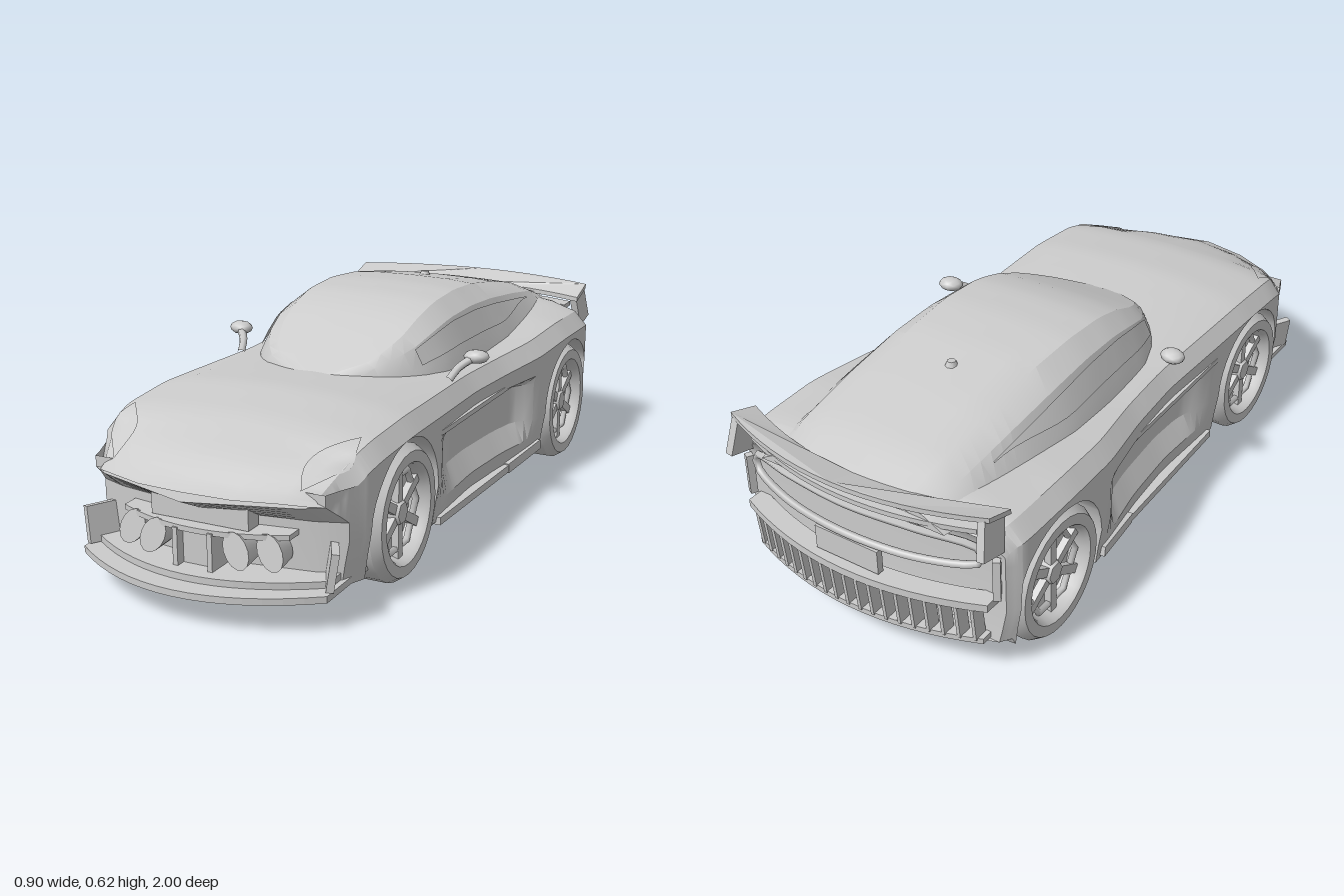
import * as THREE from 'three';
import { toCreasedNormals } from 'three/addons/utils/BufferGeometryUtils.js';

const { clamp, lerp, smoothstep } = THREE.MathUtils;
const grey = new THREE.MeshStandardMaterial({ color: 0xcccccc });
const thin = new THREE.MeshStandardMaterial({ color: 0xcccccc, side: THREE.DoubleSide });

function add(parent, name, geo, pos = [0, 0, 0], rot = [0, 0, 0], mat = grey) {
  const m = new THREE.Mesh(geo, mat);
  m.name = name;
  m.position.set(...pos);
  m.rotation.set(...rot);
  parent.add(m);
  return m;
}
const box = (p, name, w, h, d, pos, rot) => add(p, name, new THREE.BoxGeometry(w, h, d), pos, rot);

// Interpolates rows [z, ...values], z descending
function keyed(rows, z) {
  let i = 0;
  while (i < rows.length - 2 && z < rows[i + 1][0]) i++;
  const [a, b] = [rows[i], rows[i + 1]];
  const t = clamp((z - a[0]) / (b[0] - a[0]), 0, 1);
  return a.slice(1).map((v, k) => lerp(v, b[k + 1], t));
}
function smoothKeyed(rows, z) {
  const s = [-0.03, 0, 0.03].map(o => keyed(rows, z + o));
  return s[0].map((v, k) => (v + s[1][k] + s[2][k]) / 3);
}

// Plan curvature of nose and tail
const bend = (x, z) => z - 1.1 * x * x * clamp((z - 0.7) / 0.25, 0, 1)
  + 0.55 * x * x * clamp((-z - 0.82) / 0.13, 0, 1);

// Skins mirrored half sections running from front to back, with end caps
function loft(stations, half, shift = (x, z) => z) {
  const pos = [], idx = [];
  let n = 0;
  for (const z of stations) {
    const h = half(z);
    const ring = [...h, ...h.slice(1, -1).reverse().map(([x, y]) => [-x, y])];
    n = ring.length;
    for (const [x, y] of ring) pos.push(x, y, shift(x, z));
  }
  const last = (stations.length - 1) * n;
  for (let i = 0; i < last; i += n) for (let j = 0; j < n; j++) {
    const k = (j + 1) % n;
    idx.push(i + j, i + k, i + n + j, i + k, i + n + k, i + n + j);
  }
  for (let j = 0; j < n / 2; j++) {
    const l = (n - j) % n, l2 = n - j - 1, r = j, r2 = j + 1;
    idx.push(l, l2, r2, l, r2, r);
    idx.push(last + l, last + r2, last + l2, last + l, last + r, last + r2);
  }
  const g = new THREE.BufferGeometry();
  g.setAttribute('position', new THREE.Float32BufferAttribute(pos, 3));
  g.setIndex(idx);
  return toCreasedNormals(g, 0.45);
}

// Grid surface from f(u, v)
function patch(f, nu, nv) {
  const g = new THREE.PlaneGeometry(1, 1, nu, nv), p = g.attributes.position;
  for (let i = 0; i < p.count; i++) p.setXYZ(i, ...f(p.getX(i) + 0.5, p.getY(i) + 0.5));
  g.computeVertexNormals();
  return g;
}

// Flat plate with parabolic edges in plan; dir +1 faces front, -1 faces back
function band(w, zc, k, depth, y, t, dir, rise = 0) {
  const outer = [], inner = [];
  for (let i = 0; i <= 16; i++) {
    const x = lerp(-w, w, i / 16), z = zc - dir * k * x * x;
    outer.push(new THREE.Vector2(x, -z));
    inner.unshift(new THREE.Vector2(x, -(z - dir * depth)));
  }
  const g = new THREE.ExtrudeGeometry(new THREE.Shape([...outer, ...inner]), { depth: t, bevelEnabled: false });
  g.rotateX(-Math.PI / 2).translate(0, y, 0);
  const p = g.attributes.position;
  for (let i = 0; i < p.count; i++) {
    const x = p.getX(i), local = dir * (p.getZ(i) - (zc - dir * k * x * x)) + depth;
    p.setY(i, p.getY(i) + rise * local);
  }
  g.computeVertexNormals();
  return g;
}

// z, half width, centre height, shoulder height
const bodyKeys = [
  [0.95, 0.33, 0.33, 0.3], [0.83, 0.36, 0.395, 0.355], [0.65, 0.395, 0.45, 0.415], [0.45, 0.4, 0.472, 0.428],
  [0.28, 0.395, 0.465, 0.425], [0, 0.385, 0.45, 0.42], [-0.2, 0.4, 0.45, 0.42], [-0.4, 0.435, 0.46, 0.43],
  [-0.6, 0.449, 0.48, 0.445], [-0.8, 0.446, 0.495, 0.44], [-0.9, 0.43, 0.485, 0.43], [-0.95, 0.41, 0.465, 0.4]];
const axles = [0.49, -0.65], archR = 0.2;

function bodyHalf(z) {
  const [w, top, sh] = smoothKeyed(bodyKeys, z);
  let floor = z > 0.83 ? lerp(0.25, 0.31, (z - 0.83) / 0.12) : z < -0.86 ? 0.1 : 0.08, edge = floor;
  for (const a of axles) {
    const d = Math.abs(z - a);
    if (d < archR) edge = 0.19 + Math.sqrt(archR * archR - d * d);
  }
  // Scooped door panel
  const d = 0.045 * smoothstep(z, -0.4, -0.3) * (1 - smoothstep(z, 0.1, 0.3));
  const side = [[0, top], [0.4 * w, top - 0.006], [0.72 * w, lerp(top, sh, 0.4)], [0.91 * w, sh + 0.008],
    [w, sh - 0.035], [w, 0.34], [w - d, 0.315], [w - d, 0.2], [w - 0.01, 0.14], [w - 0.018, edge], [0.28, edge]];
  return [...side.map(([x, y]) => [x, Math.max(y, edge)]), [0.28, floor], [0, floor]];
}

// z, roof height, roof half width, base half width
const cabinKeys = [
  [0.29, 0.455, 0.03, 0.06], [0.2, 0.497, 0.15, 0.2], [0.1, 0.545, 0.19, 0.27], [0, 0.588, 0.2, 0.3],
  [-0.1, 0.614, 0.205, 0.31], [-0.25, 0.622, 0.205, 0.32], [-0.4, 0.61, 0.2, 0.33], [-0.6, 0.575, 0.19, 0.33],
  [-0.8, 0.53, 0.18, 0.32], [-0.93, 0.485, 0.16, 0.29]];
function cabinHalf(z) {
  const [top, wr, wb] = keyed(cabinKeys, z), h = top - 0.435;
  return [[0, top], [0.6 * wr, top - 0.002], [wr, top - 0.05 * h], [lerp(wr, wb, 0.5), top - 0.28 * h],
    [lerp(wr, wb, 0.88), top - 0.8 * h], [wb, 0.435], [0, 0.435]];
}

function wheel(width) {
  const g = new THREE.Group(), h = width / 2;
  const profile = [[0, -h], [0.13, -h], [0.165, -h], [0.185, -h + 0.025], [0.185, h - 0.025], [0.168, h],
    [0.138, h], [0.13, h - 0.012], [0.118, h - 0.055], [0, h - 0.06]].map(p => new THREE.Vector2(...p));
  add(g, 'tyreAndRim', toCreasedNormals(new THREE.LatheGeometry(profile, 28).rotateZ(-Math.PI / 2), 0.5));
  for (let i = 0; i < 6; i++) {
    const a = i * Math.PI / 3;
    box(g, 'spoke', 0.02, 0.1, 0.026, [h - 0.035, 0.08 * Math.cos(a), 0.08 * Math.sin(a)], [a, 0, 0]);
  }
  add(g, 'rimRing', new THREE.TorusGeometry(0.115, 0.01, 5, 6).rotateY(Math.PI / 2), [h - 0.035, 0, 0]);
  add(g, 'hub', new THREE.CylinderGeometry(0.03, 0.042, 0.035, 6).rotateZ(-Math.PI / 2), [h - 0.035, 0, 0]);
  return g;
}

export function createModel() {
  const car = new THREE.Group();
  car.name = 'sportsCar';

  // Body shell with wheel arches, extra stations at the arch edges and under the nose
  const zs = [0.8305, 0.8295];
  for (let i = 0; i <= 76; i++) zs.push(0.95 - i * 0.025);
  for (const a of axles) for (const s of [-1, 1]) for (const d of [0.2005, 0.1995, 0.193, 0.18]) zs.push(a + s * d);
  zs.sort((a, b) => b - a);
  add(car, 'bodyShell', loft(zs, bodyHalf, bend));
  add(car, 'cabin', loft(Array.from({ length: 31 }, (_, i) => lerp(0.29, -0.93, i / 30)), cabinHalf));
  add(car, 'roofAntenna', new THREE.CylinderGeometry(0.012, 0.018, 0.014, 8), [0, 0.597, -0.5]);

  // Wheels
  for (const s of [1, -1]) axles.forEach((z, i) => {
    const w = wheel(0.115);
    w.name = i ? 'rearWheel' : 'frontWheel';
    w.position.set(s * (i ? 0.385 : 0.342), 0.187, z);
    if (s < 0) w.rotation.y = Math.PI;
    car.add(w);
  });

  // Nose: splitter, grille, lamps
  add(car, 'splitter', band(0.355, 0.998, 1.05, 0.24, 0.082, 0.018, 1));
  add(car, 'splitterLip', band(0.34, 0.94, 1.05, 0.12, 0.1, 0.018, 1));
  box(car, 'upperGrille', 0.28, 0.075, 0.05, [0, 0.265, 0.84]);
  add(car, 'grilleBar', band(0.24, 0.9, 1.05, 0.08, 0.212, 0.014, 1));
  box(car, 'centreIntake', 0.09, 0.1, 0.05, [0, 0.165, 0.85]);
  for (const s of [1, -1]) {
    box(car, 'intakePost', 0.014, 0.105, 0.075, [s * 0.05, 0.166, 0.865]);
    for (const x of [0.12, 0.2]) {
      const lamp = add(car, 'fogLamp', new THREE.CylinderGeometry(0.05, 0.035, 0.07, 14).rotateX(Math.PI / 2),
        [s * x, 0.178, 0.875 - 1.05 * x * x], [-0.15, 0, s * 0.5]);
      lamp.scale.set(0.68, 1, 1);
    }
    box(car, 'cornerFin', 0.02, 0.1, 0.1, [s * 0.335, 0.15, 0.8], [0, s * 0.5, s * -0.15]);

    // Headlight lens raised from the wing surface
    add(car, 'headlight', patch((u, v) => {
      const z = lerp(0.9, 0.64, v), half = bodyHalf(z);
      const x = lerp(0.27, 0.335, v) + (u - 0.5) * 0.09 * Math.sin(Math.PI * v);
      let j = 1;
      while (half[j][0] < x && j < 4) j++;
      const [a, b] = [half[j - 1], half[j]];
      return [s * x, lerp(a[1], b[1], (x - a[0]) / (b[0] - a[0])) + 0.005, bend(x, z)];
    }, 4, 10), undefined, undefined, thin);

    // Side window
    add(car, 'sideWindow', patch((u, v) => {
      const z = lerp(0.1, -0.7, u), h = cabinHalf(z);
      const t = lerp(0.05 + 0.2 * u, lerp(0.8, 0.3, smoothstep(u, 0.6, 1)), v);
      return [s * (lerp(h[3][0], h[4][0], t) + 0.005), lerp(h[3][1], h[4][1], t) + 0.002, z];
    }, 20, 2), undefined, undefined, thin);

    // Mirror
    add(car, 'mirrorStalk', new THREE.TubeGeometry(new THREE.CatmullRomCurve3([
      new THREE.Vector3(s * 0.335, 0.435, 0.09), new THREE.Vector3(s * 0.35, 0.465, 0.05),
      new THREE.Vector3(s * 0.38, 0.488, 0.015)]), 6, 0.012, 6));
    add(car, 'mirrorHead', new THREE.IcosahedronGeometry(0.5, 1), [s * 0.383, 0.488, 0.005], [0, s * 0.2, 0])
      .scale.set(0.075, 0.04, 0.06);

    // Side skirt, door blade and rear intake
    box(car, 'sideSkirt', 0.05, 0.022, 0.68, [s * 0.375, 0.083, -0.08], [0, s * -0.03, 0]);
    box(car, 'skirtFin', 0.05, 0.03, 0.2, [s * 0.395, 0.095, -0.33], [0.12, s * -0.15, 0]);
    box(car, 'doorBlade', 0.012, 0.014, 0.5, [s * 0.392, 0.342, 0.02], [0, s * -0.01, 0]);

    // Wing end plate and exhaust corner
    box(car, 'wingEndPlate', 0.022, 0.105, 0.085, [s * 0.395, 0.448, -0.885], [0.25, 0, s * 0.12]);
    box(car, 'rearCornerVent', 0.02, 0.12, 0.02, [s * 0.4, 0.31, -0.872], [0, s * -0.5, 0]);
  }

  // Rear wing, tail lip, tail light surround and plate
  add(car, 'rearWing', band(0.408, -0.998, 0.55, 0.088, 0.478, 0.014, -1, 0.32));
  add(car, 'tailLip', band(0.36, -0.965, 0.55, 0.06, 0.445, 0.014, -1));
  const ring = [[0, 0.425], [0.2, 0.42], [0.36, 0.39], [0.36, 0.35], [0.22, 0.33], [0, 0.33],
    [-0.22, 0.33], [-0.36, 0.35], [-0.36, 0.39], [-0.2, 0.42]]
    .map(([x, y]) => new THREE.Vector3(x, y, -0.952 + 0.55 * x * x));
  add(car, 'tailLightSurround', new THREE.TubeGeometry(new THREE.CatmullRomCurve3(ring, true), 48, 0.011, 5, true));
  box(car, 'platePanel', 0.2, 0.07, 0.02, [0, 0.285, -0.95]);

  // Rear diffuser with a row of teeth
  add(car, 'bumperShelf', band(0.39, -0.985, 0.55, 0.06, 0.222, 0.022, -1));
  add(car, 'diffuserFloor', band(0.37, -0.97, 0.55, 0.1, 0.105, 0.016, -1));
  for (let i = -9; i <= 9; i++) {
    const x = i * 0.039;
    box(car, 'diffuserTooth', 0.01, 0.105, 0.04, [x, 0.17, -0.958 + 0.55 * x * x], [-0.1, 0, 0]);
  }
  return car;
}
